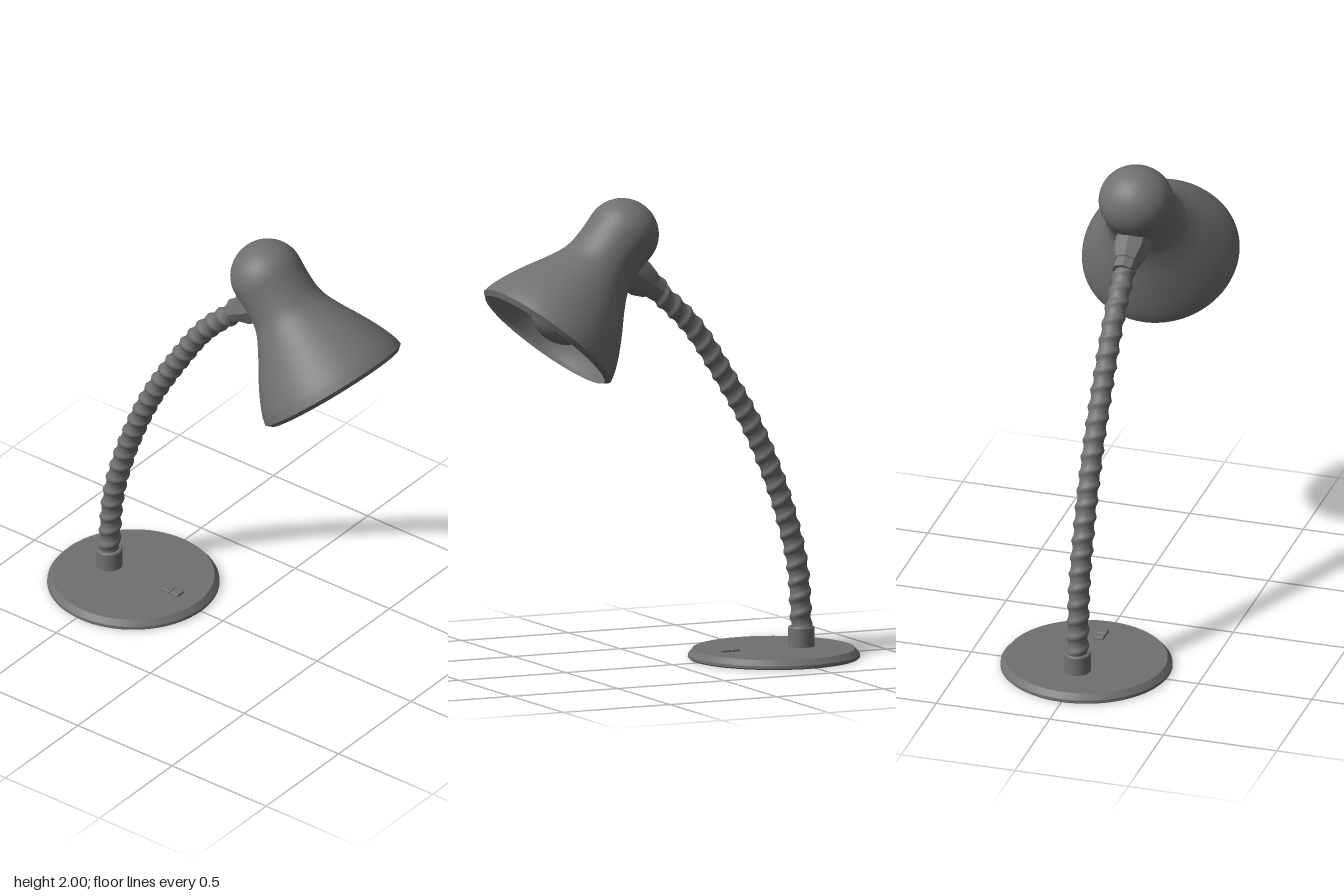
import * as THREE from 'three';
import { mergeVertices, toCreasedNormals } from 'three/addons/utils/BufferGeometryUtils.js';
import { RoundedBoxGeometry } from 'three/addons/geometries/RoundedBoxGeometry.js';

const darkGrey = new THREE.MeshStandardMaterial({ color: 0x707070, side: THREE.DoubleSide });

function add(parent, name, geometry, x = 0, y = 0, z = 0) {
  const mesh = new THREE.Mesh(geometry, darkGrey);
  mesh.name = name;
  mesh.position.set(x, y, z);
  parent.add(mesh);
  return mesh;
}

// Turned part from [radius, height] pairs, with hard edges kept sharp
function turned(profile, segments = 64, crease = 0.5) {
  const points = profile.map(([r, y]) => new THREE.Vector2(r, y));
  return toCreasedNormals(new THREE.LatheGeometry(points, segments), crease);
}

// Tube along a curve whose radius swells in a helical rib
function ribbedTube(curve, radius, depth, ribs) {
  const rings = ribs * 10, sides = 20;
  const geo = new THREE.TubeGeometry(curve, rings, 1, sides, false);
  const pos = geo.attributes.position, v = new THREE.Vector3();
  for (let i = 0; i <= rings; i++) {
    const centre = curve.getPointAt(i / rings);
    for (let j = 0; j <= sides; j++) {
      const k = i * (sides + 1) + j;
      const phase = ((i / rings) * ribs + j / sides) * Math.PI * 2;
      const r = radius + depth * Math.pow(0.5 + 0.5 * Math.sin(phase), 2);
      v.fromBufferAttribute(pos, k).sub(centre).multiplyScalar(r).add(centre);
      pos.setXYZ(k, v.x, v.y, v.z);
    }
  }
  geo.deleteAttribute('uv');
  geo.deleteAttribute('normal');
  const merged = mergeVertices(geo, 1e-5);
  merged.computeVertexNormals();
  return merged;
}

// Bell shade: inner wall, bevelled lip, outer wall and domed top in one profile
function shadeGeometry() {
  const wall = 0.012, domeY = 0.55, domeR = 0.153;
  const outer = new THREE.SplineCurve([
    [0.326, 0.01], [0.315, 0.055], [0.288, 0.12], [0.247, 0.2], [0.196, 0.29],
    [0.16, 0.37], [0.15, 0.45], [domeR, domeY],
  ].map(([r, y]) => new THREE.Vector2(r, y))).getPoints(36).map((p) => [p.x, p.y]);
  for (let i = 1; i <= 14; i++) {
    const a = (i / 14) * Math.PI / 2;
    outer.push([Math.max(0, domeR * Math.cos(a)), domeY + domeR * Math.sin(a)]);
  }
  const inner = outer.map(([r, y]) => [Math.max(0, r - wall), Math.min(y, domeY + domeR - wall)]);
  return turned([...inner.reverse(), [0.305, -0.008], ...outer], 72, 0.6);
}

export function createModel() {
  const lamp = new THREE.Group();
  lamp.name = 'deskLamp';

  // Base disc with chamfered rim and neck collar
  add(lamp, 'base', turned([
    [0, 0], [0.358, 0], [0.363, 0.005], [0.362, 0.016], [0.342, 0.04], [0, 0.04],
  ], 72, 0.4), 0, 0, -0.475);
  add(lamp, 'baseCollar', turned([
    [0, 0.035], [0.056, 0.035], [0.056, 0.12], [0.052, 0.125], [0, 0.125],
  ], 32), 0, 0, -0.603);

  // Rocker switch in two halves
  for (const z of [-0.243, -0.287]) {
    add(lamp, 'switchRocker', new RoundedBoxGeometry(0.045, 0.02, 0.043, 2, 0.006), 0, 0.041, z);
  }

  // Flexible neck
  const path = new THREE.CatmullRomCurve3([
    [0.1, -0.605], [0.38, -0.585], [0.6, -0.532], [0.8, -0.461], [1.0, -0.37],
    [1.22, -0.24], [1.44, -0.09], [1.61, 0.085],
  ].map(([y, z]) => new THREE.Vector3(0, y, z)));
  add(lamp, 'flexibleNeck', ribbedTube(path, 0.041, 0.008, 24));

  // Tapered joint between neck and shade
  const joint = add(lamp, 'joint', turned([
    [0, -0.01], [0.052, -0.01], [0.053, 0.035], [0.06, 0.04], [0.079, 0.095], [0.079, 0.2], [0, 0.2],
  ], 8, 0.4), 0, 1.603, 0.069);
  joint.rotation.x = 1.01;

  // Head, tilted so the opening looks forward and down
  const head = new THREE.Group();
  head.name = 'head';
  head.position.set(0, 1.431, 0.594);
  head.rotation.x = -0.705;
  lamp.add(head);
  const shade = add(head, 'shade', shadeGeometry(), 0, 0, -0.003);
  shade.scale.x = 1.04;

  // Round bulb and its stem
  add(head, 'bulb', new THREE.SphereGeometry(0.152, 40, 28), 0, 0.153, 0);
  add(head, 'bulbStem', new THREE.CylinderGeometry(0.06, 0.09, 0.3, 32), 0, 0.4, 0);

  return lamp;
}
